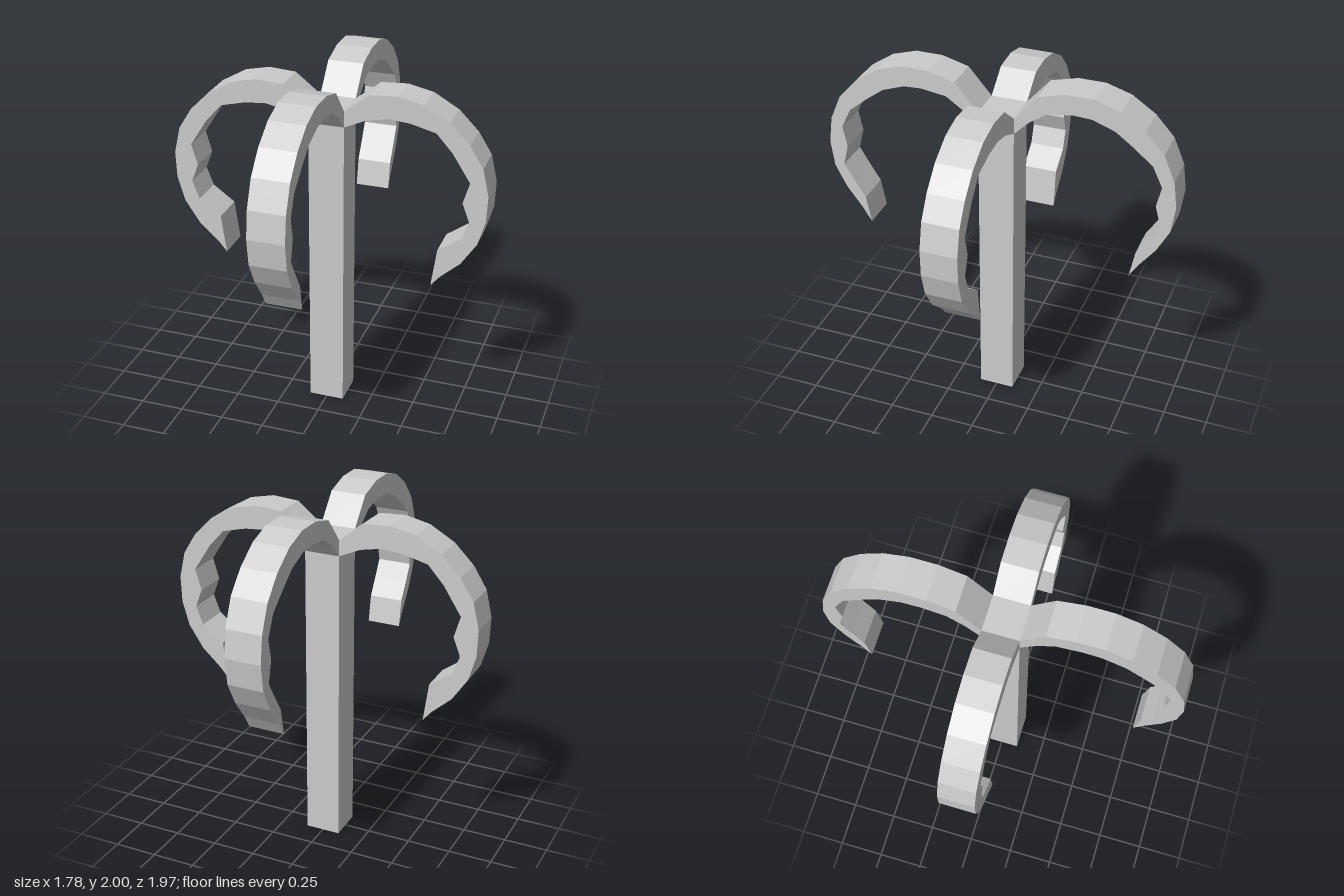
import * as THREE from 'three';

const WIDTH = 0.2;
const material = new THREE.MeshStandardMaterial({ color: 0xcccccc, flatShading: true });

// Side outlines of the curled fronds, as [distance from the axis, height]
const sideOutline = [
  // upper edge, trunk to tip
  [0.1, 1.81], [0.24, 1.92], [0.39, 1.93], [0.53, 1.9], [0.67, 1.82], [0.78, 1.71], [0.855, 1.59],
  [0.89, 1.44], [0.885, 1.29], [0.845, 1.15], [0.76, 1.02], [0.65, 0.92], [0.6, 0.86],
  // lower edge, tip to trunk
  [0.63, 1.08], [0.755, 1.17], [0.795, 1.275], [0.755, 1.38], [0.79, 1.5], [0.69, 1.655],
  [0.6, 1.755], [0.46, 1.79], [0.34, 1.8], [0.22, 1.775], [0.1, 1.72],
];
const frontOutline = [
  [0.1, 1.81], [0.23, 1.96], [0.38, 2], [0.53, 2], [0.67, 1.957], [0.8, 1.87], [0.905, 1.755],
  [0.967, 1.61], [0.987, 1.46], [0.967, 1.31], [0.9, 1.18], [0.81, 1.06], [0.76, 0.98],
  [0.79, 1.135], [0.85, 1.23], [0.91, 1.33], [0.88, 1.45], [0.905, 1.565], [0.85, 1.68],
  [0.74, 1.77], [0.645, 1.84], [0.52, 1.885], [0.42, 1.89], [0.28, 1.87], [0.185, 1.805], [0.1, 1.72],
];

function frondGeometry(outline) {
  const shape = new THREE.Shape(outline.map(([x, y]) => new THREE.Vector2(x, y)));
  const geometry = new THREE.ExtrudeGeometry(shape, { depth: WIDTH, bevelEnabled: false });
  return geometry.translate(0, 0, -WIDTH / 2);
}

export function createModel() {
  const model = new THREE.Group();
  model.name = 'palmTree';

  // Square trunk
  const trunk = new THREE.Mesh(new THREE.BoxGeometry(WIDTH, 1.81, WIDTH), material);
  trunk.name = 'trunk';
  trunk.position.y = 1.81 / 2;
  model.add(trunk);

  // Four fronds, opposite ones sharing a shape
  const side = frondGeometry(sideOutline);
  const front = frondGeometry(frontOutline);
  const fronds = [
    ['leftFrond', side], ['backFrond', front], ['rightFrond', side], ['frontFrond', front],
  ];
  fronds.forEach(([name, geometry], i) => {
    const frond = new THREE.Mesh(geometry, material);
    frond.name = name;
    frond.rotation.y = (i * Math.PI) / 2;
    model.add(frond);
  });

  return model;
}
